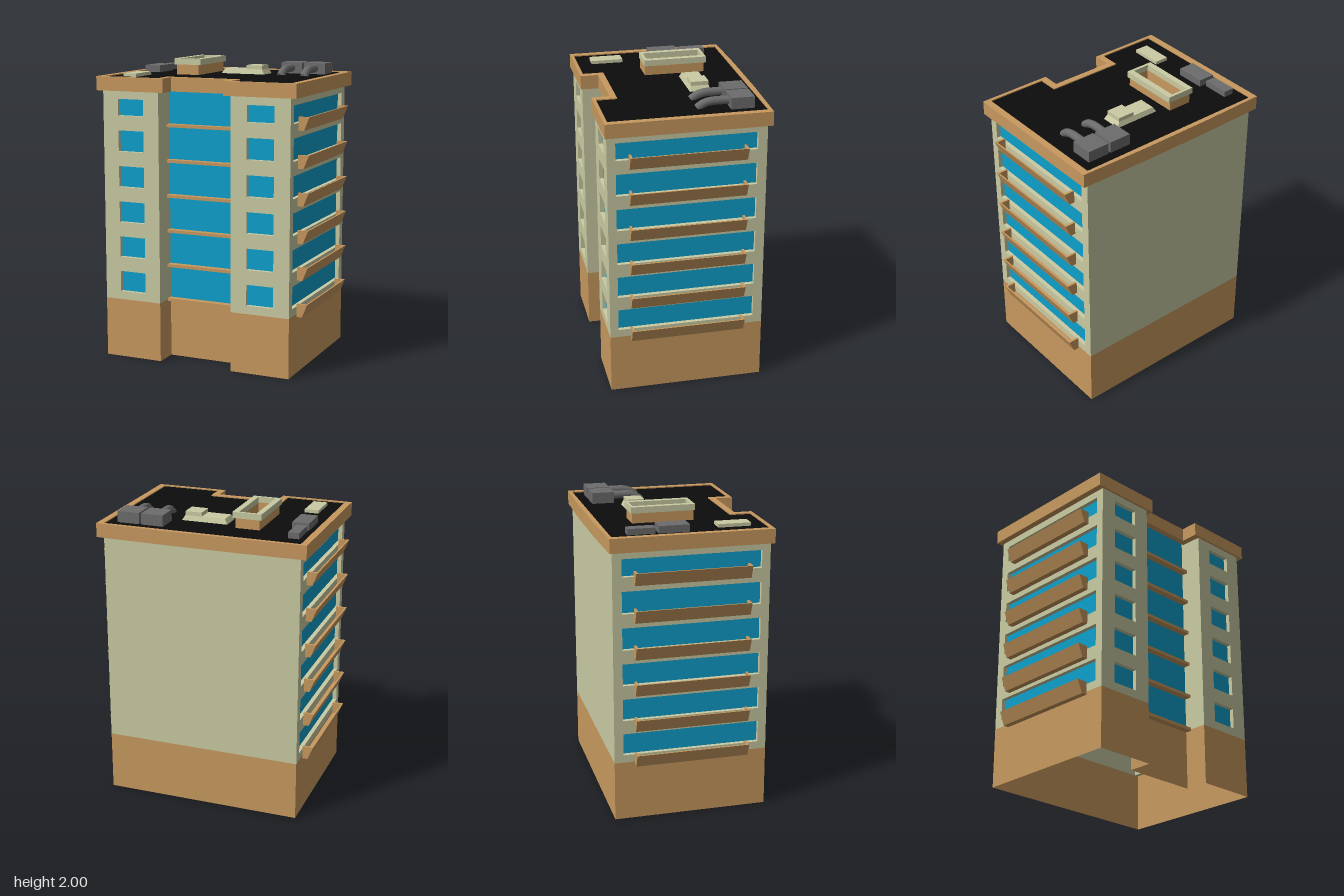
import * as THREE from 'three';

const mat = (name, color) => {
  const m = new THREE.MeshStandardMaterial({ color, side: THREE.DoubleSide });
  m.name = name;
  return m;
};

export function createModel() {
  const tan = mat('tan', 0xc8995f);
  const cream = mat('cream', 0xcacba3);
  const blue = mat('blueGlass', 0x0ea0cc);
  const black = mat('blackRoof', 0x0c0c0c);
  const grey = mat('grey', 0x6c6c6c);

  const model = new THREE.Group();
  model.name = 'officeBuilding';

  const add = (name, geo, material, parent = model) => {
    const mesh = new THREE.Mesh(geo, material);
    mesh.name = name;
    parent.add(mesh);
    return mesh;
  };
  // Box given by its limits
  const box = (name, material, [x0, x1], [y0, y1], [z0, z1], parent) =>
    add(name, new THREE.BoxGeometry(x1 - x0, y1 - y0, z1 - z0)
      .translate((x0 + x1) / 2, (y0 + y1) / 2, (z0 + z1) / 2), material, parent);
  // Closed outline from points, and rectangle corners
  const outline = (pts) => new THREE.Shape(pts.map(([x, y]) => new THREE.Vector2(x, y)));
  const rect = (x0, x1, y0, y1) => outline([[x0, y0], [x1, y0], [x1, y1], [x0, y1]]);
  const extrude = (shape, depth) => new THREE.ExtrudeGeometry(shape, { depth, bevelEnabled: false });
  // Plan shape raised from y0 to y1 (points are x, -z)
  const raise = (shape, y0, y1) => extrude(shape, y1 - y0).rotateX(-Math.PI / 2).translate(0, y0, 0);
  // Thin upright wall between two plan points
  const wall = (name, material, [xa, za], [xb, zb], y0, y1) =>
    add(name, new THREE.PlaneGeometry(Math.hypot(xb - xa, zb - za), y1 - y0)
      .rotateY(-Math.atan2(zb - za, xb - xa))
      .translate((xa + xb) / 2, (y0 + y1) / 2, (za + zb) / 2), material);

  const W = 0.663, F = 0.515, B = -0.505, N = 0.257, R = 0.355; // half width, front, back, notch
  const baseTop = 0.4, wallTop = 1.82, floors = 6, T = 0.03;

  // Ground floor, open below
  const plan = [[-W, F], [-N, F], [-N, R], [N, R], [N, F], [W, F], [W, B], [-W, B]];
  plan.forEach((p, i) => wall('baseWall', tan, p, plan[(i + 1) % plan.length], 0, baseTop));

  // Plain upper walls: back and the sides of the front recess
  wall('backWall', cream, [W, B], [-W, B], baseTop, wallTop);
  wall('recessSideRight', cream, [-N, F], [-N, R], baseTop, wallTop);
  wall('recessSideLeft', cream, [N, R], [N, F], baseTop, wallTop);

  // Window heights per floor
  const windows = Array.from({ length: floors }, (_, i) => {
    const y0 = 0.452 + 0.238 * i;
    return [y0, y0 + (i === floors - 1 ? 0.116 : 0.146)];
  });

  // One wing: front pier, side wall, glass and balconies; mirrored for the other
  const wing = (name, side) => {
    const g = new THREE.Group();
    g.name = name;
    g.scale.x = side;
    model.add(g);

    const pier = rect(N, W, baseTop, wallTop);
    const flank = rect(-F + T, -B, baseTop, wallTop);
    for (const [y0, y1] of windows) {
      pier.holes.push(rect(0.367, 0.553, y0 + 0.003, y1 - 0.003));
      flank.holes.push(rect(-0.46, 0.445, y0, y1));
    }
    add('frontPier', extrude(pier, T).translate(0, 0, F - T), cream, g);
    add('sideWall', extrude(flank, T).rotateY(Math.PI / 2).translate(W - T, 0, 0), cream, g);

    // Balcony trough profile and end cap
    const trough = outline([[W, 0], [0.7, 0], [0.735, 0.087], [0.724, 0.087], [0.692, 0.01], [W, 0.01]]);
    const cap = outline([[W, 0], [0.7, 0], [0.735, 0.087], [W, 0.087]]);
    windows.forEach(([y0, y1], i) => {
      box('frontWindow', blue, [0.36, 0.56], [y0 - 0.005, y1 + 0.005], [F - T - 0.006, F - T + 0.002], g);
      box('sideWindow', blue, [W - T - 0.006, W - T + 0.002], [y0 - 0.005, y1 + 0.005], [-0.45, 0.465], g);
      const y = 0.38 + 0.2425 * i;
      add('balconyTrough', extrude(trough, 0.72).translate(0, y, -0.355), tan, g);
      for (const z of [-0.37, 0.365]) add('balconyEnd', extrude(cap, 0.015).translate(0, y, z), tan, g);
    });
  };
  wing('leftWing', 1);
  wing('rightWing', -1);

  // Glazed recess with floor slabs
  wall('recessGlass', blue, [-N, R], [N, R], baseTop, wallTop);
  for (let i = 0; i < floors; i++) {
    const y = 0.39 + 0.236 * i;
    box('floorSlab', tan, [-N, N], [y, y + 0.02], [R - 0.01, 0.4]);
  }

  // Parapet ring and roof deck
  const inner = [[-0.66, -0.507], [-0.26, -0.507], [-0.26, -0.37], [N, -0.37], [N, -0.507],
    [0.66, -0.507], [0.66, 0.505], [-0.66, 0.505]];
  const parapet = outline([[-0.705, -0.53], [-0.215, -0.53], [-0.215, -0.412], [0.21, -0.412], [0.21, -0.53],
    [0.705, -0.53], [0.705, 0.527], [0.26, 0.537], [-0.26, 0.537], [-0.705, 0.527]]);
  parapet.holes.push(outline(inner));
  add('parapet', raise(parapet, 1.807, 1.9), tan);
  add('roofDeck', new THREE.ShapeGeometry(outline(inner)).rotateX(-Math.PI / 2).translate(0, 1.893, 0), black);

  // Open shaft with an overhanging rim
  const ring = (x0, x1, z0, z1) => {
    const s = rect(x0, x1, -z1, -z0);
    s.holes.push(rect(-0.302, -0.185, -0.09, 0.29));
    return s;
  };
  add('shaftBody', raise(ring(-0.325, -0.162, -0.298, 0.105), 1.89, 1.962), tan);
  add('shaftRim', raise(ring(-0.34, -0.145, -0.308, 0.11), 1.96, 2), cream);

  // Skylight: tapered base with a raised part
  const sky = new THREE.BoxGeometry(0.315, 0.035, 0.14);
  const p = sky.attributes.position;
  for (let i = 0; i < p.count; i++) {
    if (p.getY(i) > 0) p.setXYZ(i, p.getX(i) * 0.87, p.getY(i), p.getZ(i) * 0.83);
  }
  sky.computeVertexNormals();
  add('skylightBase', sky.translate(0.067, 1.9085, -0.18), cream);
  box('skylightTop', cream, [0.09, 0.204], [1.92, 1.952], [-0.238, -0.122]);

  // Low roof boxes
  box('roofHatch', cream, [-0.565, -0.47], [1.89, 1.915], [0.2, 0.413]);
  box('ventBoxBack', grey, [-0.615, -0.543], [1.89, 1.932], [-0.395, -0.217]);
  box('ventBoxFront', grey, [-0.62, -0.507], [1.89, 1.94], [-0.198, 0]);

  // Air units with bent ducts
  for (const x of [0.355, 0.52]) {
    box('airUnit', grey, [x - 0.075, x + 0.075], [1.89, 1.967], [-0.435, -0.285]);
    const path = new THREE.CatmullRomCurve3([[1.932, -0.29], [1.932, -0.23], [1.93, -0.165], [1.914, -0.115], [1.89, -0.085]]
      .map(([y, z]) => new THREE.Vector3(x, y, z)));
    add('airDuct', new THREE.TubeGeometry(path, 10, 0.027, 10), grey);
  }
  return model;
}
